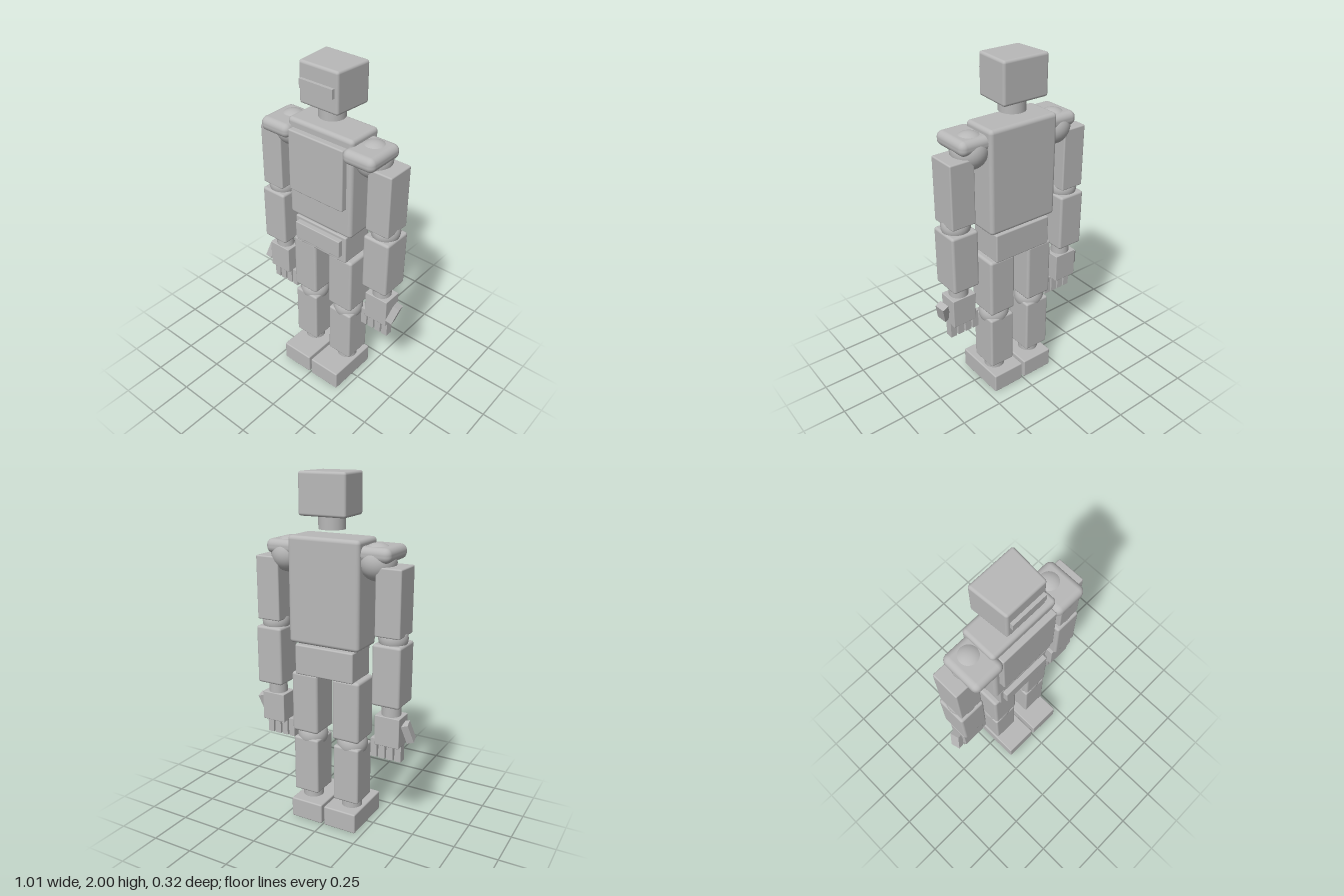
import * as THREE from 'three';
import { RoundedBoxGeometry } from 'three/addons/geometries/RoundedBoxGeometry.js';

export function createModel() {
  const model = new THREE.Group();
  model.name = 'jointedRobot';
  const grey = new THREE.MeshStandardMaterial({ color: 0xb8b8b8 });
  grey.name = 'plain grey';

  const add = (name, geometry, x, y, z) => {
    const mesh = new THREE.Mesh(geometry, grey);
    mesh.name = name;
    mesh.position.set(x, y, z);
    model.add(mesh);
    return mesh;
  };
  // Box centred on x, spanning y0..y1 and z0..z1; r rounds its edges
  const box = (name, x, width, y0, y1, z0, z1, r = 0) => {
    const h = y1 - y0, d = z1 - z0;
    const geometry = r > 0
      ? new RoundedBoxGeometry(width, h, d, 4, r)
      : new THREE.BoxGeometry(width, h, d);
    return add(name, geometry, x, (y0 + y1) / 2, (z0 + z1) / 2);
  };
  const ball = (name, x, y, r) => add(name, new THREE.SphereGeometry(r, 32, 20), x, y, AXIS);
  const post = (name, x, y0, y1, r) =>
    add(name, new THREE.CylinderGeometry(r, r, y1 - y0, 32), x, (y0 + y1) / 2, AXIS);
  const AXIS = -0.042; // depth of the limb joints

  // Head, slightly narrower towards the face
  const head = box('head', 0, 0.28, 1.775, 2, -0.157, 0.069, 0.015);
  const p = head.geometry.attributes.position;
  for (let i = 0; i < p.count; i++) {
    const t = (p.getZ(i) + 0.113) / 0.226;
    p.setX(i, p.getX(i) * (1 - 0.12 * t));
  }
  head.geometry.computeBoundingSphere();
  box('visor', 0, 0.21, 1.865, 1.915, 0.05, 0.088);
  post('neck', 0, 1.705, 1.78, 0.073);

  // Trunk
  box('torso', 0, 0.43, 1.08, 1.67, -0.15, 0.064, 0.022);
  box('chestPlate', 0, 0.364, 1.262, 1.622, 0.04, 0.099, 0.008);
  box('pelvis', 0, 0.36, 0.9, 1.072, -0.145, 0.058, 0.008);
  box('beltPlate', 0, 0.312, 0.945, 1.052, 0.04, 0.088, 0.005);

  for (const s of [1, -1]) {
    const side = s > 0 ? 'left' : 'right';
    const arm = 0.367 * s, leg = 0.13 * s;

    // Arm
    box(side + 'ShoulderPad', 0.275 * s, 0.194, 1.558, 1.638, -0.13, 0.113, 0.035);
    ball(side + 'ShoulderBall', 0.27 * s, 1.554, 0.1);
    box(side + 'UpperArm', arm, 0.145, 1.18, 1.542, -0.124, 0.042, 0.008);
    ball(side + 'Elbow', arm, 1.162, 0.08);
    box(side + 'Forearm', arm, 0.162, 0.8, 1.14, -0.131, 0.046, 0.014);
    post(side + 'Wrist', arm, 0.73, 0.805, 0.054);

    // Hand
    box(side + 'Palm', arm, 0.146, 0.56, 0.733, -0.1, 0.015, 0.004);
    for (let i = 0; i < 4; i++) {
      box(side + 'Finger', (0.27 + i * 0.049) * s, 0.038, 0.463, 0.572, -0.057, -0.012);
    }
    const thumb = box(side + 'Thumb', 0.465 * s, 0.04, 0.588, 0.698, -0.059, -0.001);
    thumb.rotation.set(-0.2, 0.22, -0.26);

    // Leg
    box(side + 'Thigh', leg, 0.165, 0.548, 0.905, -0.135, 0.048, 0.016);
    ball(side + 'Knee', leg, 0.511, 0.088);
    box(side + 'Shin', leg, 0.158, 0.168, 0.507, -0.127, 0.042, 0.012);
    post(side + 'Ankle', leg, 0.11, 0.172, 0.06);
    box(side + 'Foot', 0.109 * s, 0.202, 0, 0.12, -0.162, 0.162, 0.008);
  }
  return model;
}
